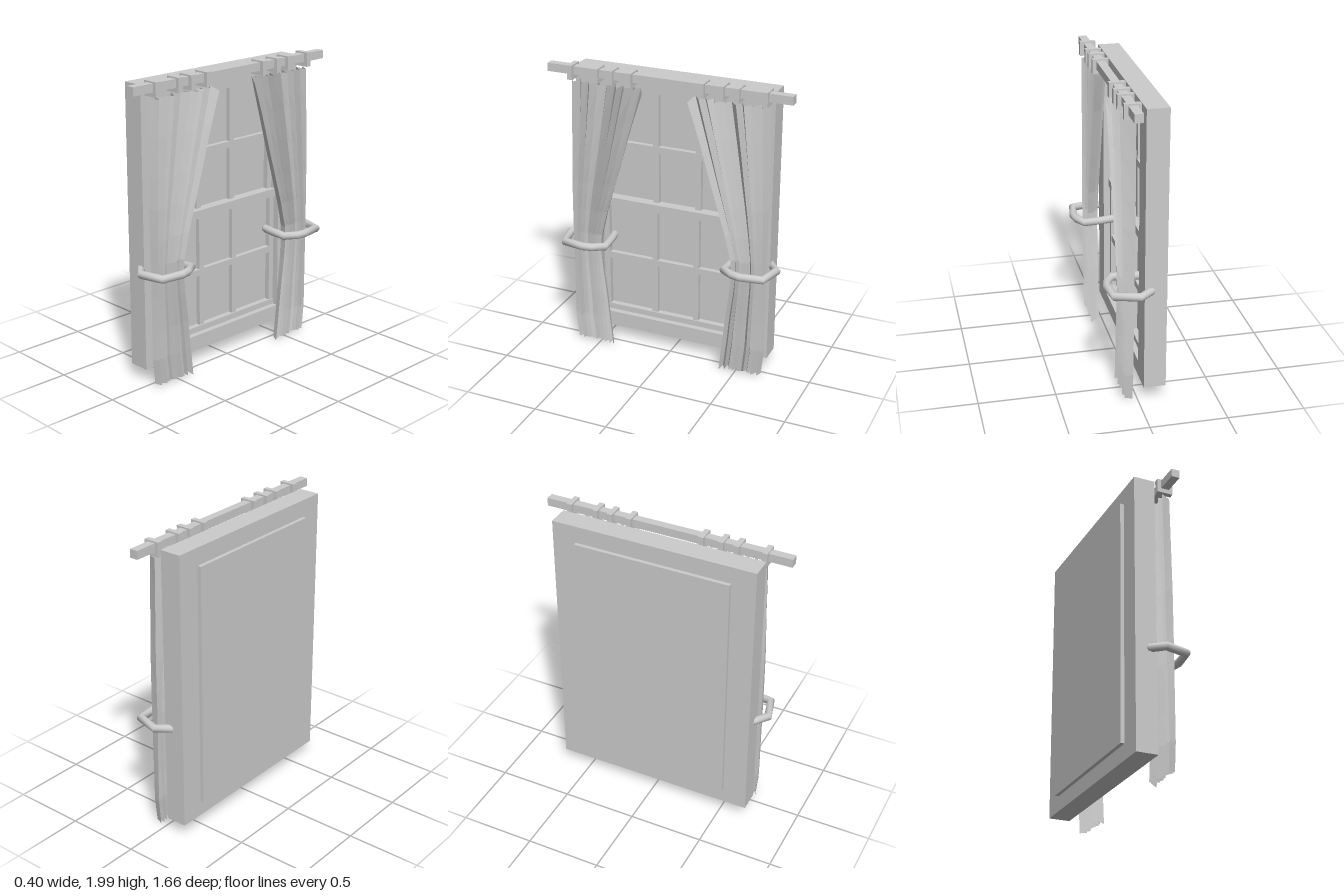
import * as THREE from 'three';

const gray = new THREE.MeshStandardMaterial({ color: 0xcccccc });
gray.name = 'light gray';
const cloth = new THREE.MeshStandardMaterial({ color: 0xcccccc, side: THREE.DoubleSide });
cloth.name = 'cloth gray';

function add(group, name, geometry, material = gray) {
  const mesh = new THREE.Mesh(geometry, material);
  mesh.name = name;
  group.add(mesh);
  return mesh;
}

// Box given by its limits on each axis
function box(group, name, x0, x1, y0, y1, z0, z1) {
  add(group, name, new THREE.BoxGeometry(x1 - x0, y1 - y0, z1 - z0))
    .position.set((x0 + x1) / 2, (y0 + y1) / 2, (z0 + z1) / 2);
}

// Rectangle with a rectangular hole, extruded along z from 0
function hollowRect(outer, inner, depth) {
  const corners = ([a0, a1, b0, b1]) =>
    [[a0, b0], [a1, b0], [a1, b1], [a0, b1]].map(([a, b]) => new THREE.Vector2(a, b));
  const shape = new THREE.Shape(corners(outer));
  shape.holes.push(new THREE.Path(corners(inner).reverse()));
  return new THREE.ExtrudeGeometry(shape, { depth, bevelEnabled: false });
}

// Interpolates in a list of [y, value], y falling
function profile(list, y) {
  for (let i = 0; i < list.length - 1; i++) {
    const [ya, va] = list[i], [yb, vb] = list[i + 1];
    if (y >= yb) return va + (vb - va) * (ya - y) / (ya - yb);
  }
  return list[list.length - 1][1];
}

// Straight segments joined at corners, for sharp-cornered tubes
class Polyline extends THREE.Curve {
  constructor(points) { super(); this.points = points; }
  getPoint(t, target = new THREE.Vector3()) {
    const n = this.points.length - 1;
    const i = Math.min(Math.floor(t * n + 1e-9), n - 1);
    return target.lerpVectors(this.points[i], this.points[i + 1], t * n - i);
  }
  getPointAt(u, target) { return this.getPoint(u, target); }
  getTangentAt(u, target) { return this.getTangent(u, target); }
}

// Pleated sheet gathered at the tieback
const innerEdge = [[1.9, 0.155], [1.4, 0.3], [1.2, 0.36], [1, 0.42], [0.83, 0.46],
  [0.72, 0.465], [0.6, 0.455], [0.4, 0.43], [0, 0.39]];
const outerEdge = [[1.9, 0.675], [1.2, 0.688], [0.78, 0.685], [0.1, 0.69], [0, 0.67]];
function curtainGeometry(side) {
  const heights = [1.9, 1.65, 1.4, 1.2, 1, 0.83, 0.72, 0.6, 0.4, 0.2, 0.01];
  const cols = 17, points = [], index = [];
  heights.forEach((y, r) => {
    const zin = profile(innerEdge, y), zout = profile(outerEdge, y);
    for (let c = 0; c <= cols; c++) {
      const wobble = Math.sin(c * 2.3 + 1);
      const u = c === 0 || c === cols ? c / cols : (c + 0.28 * wobble) / cols;
      const front = c % 2 === 1;
      const x = front ? 0.088 + 0.008 * wobble - 0.005 * (r / 10)
        : 0.022 + 0.014 * Math.sin(c * 1.7) + 0.012 * (r / 10);
      let py = y;
      if (r === 0) py -= 0.012 * (1 + Math.sin(c * 1.9)) / 2 + (c === cols ? 0.02 : 0);
      if (r === heights.length - 1) py += 0.022 * (1 + Math.sin(c * 2.9)) / 2;
      points.push(x, py, side * (zout + (zin - zout) * u));
      if (r < heights.length - 1 && c < cols) {
        const a = r * (cols + 1) + c, b = a + 1, d = a + cols + 1, e = d + 1;
        if (side > 0) index.push(a, d, b, b, d, e);
        else index.push(a, b, d, b, e, d);
      }
    }
  });
  const indexed = new THREE.BufferGeometry();
  indexed.setAttribute('position', new THREE.Float32BufferAttribute(points, 3));
  indexed.setIndex(index);
  const flat = indexed.toNonIndexed();
  flat.computeVertexNormals();
  return flat;
}

export function createModel() {
  const model = new THREE.Group();
  model.name = 'curtainedWindow';

  // Casing around the opening, facing +x
  const casing = hollowRect([-0.685, 0.685, 0.1, 1.965], [-0.525, 0.525, 0.205, 1.85], 0.143);
  casing.rotateY(Math.PI / 2);
  add(model, 'casing', casing).position.x = -0.18;

  // Panes: the upper one sits further back than the lower one
  const sash = new THREE.Group();
  sash.name = 'sash';
  model.add(sash);
  box(sash, 'upperPane', -0.205, -0.14, 0.205, 1.85, -0.525, 0.525);
  box(sash, 'lowerPane', -0.14, -0.115, 0.205, 1.03, -0.525, 0.525);

  // Rails, stiles and glazing bars of both sashes
  const sashes = [
    { name: 'lower', y0: 0.205, y1: 1.03, back: -0.115, front: -0.08, bar: 0.62 },
    { name: 'upper', y0: 1.03, y1: 1.85, back: -0.14, front: -0.105, bar: 1.432 },
  ];
  for (const { name, y0, y1, back, front, bar } of sashes) {
    for (const s of [-1, 1]) {
      const z = s * 0.505;
      box(sash, name + 'Stile', back, front, y0, y1, z - 0.02, z + 0.02);
      const m = s * 0.15;
      box(sash, name + 'VerticalBar', back, front - 0.005, y0, y1, m - 0.02, m + 0.02);
    }
    box(sash, name + 'CrossBar', back, front - 0.002, bar - 0.022, bar + 0.022, -0.5, 0.5);
  }
  box(sash, 'bottomRail', -0.115, -0.075, 0.205, 0.245, -0.525, 0.525);
  box(sash, 'topRail', -0.14, -0.1, 1.815, 1.85, -0.525, 0.525);
  box(sash, 'meetingRail', -0.14, -0.07, 1, 1.055, -0.525, 0.525);

  // Rod
  box(model, 'curtainRod', 0.015, 0.07, 1.935, 1.99, -0.83, 0.83);

  for (const side of [-1, 1]) {
    const half = new THREE.Group();
    half.name = side > 0 ? 'leftCurtainSet' : 'rightCurtainSet';
    model.add(half);

    // Square rings
    for (const z of [0.66, 0.478, 0.375, 0.245]) {
      const ring = hollowRect([-0.01, 0.095, 1.905, 2], [0.015, 0.07, 1.935, 1.985], 0.035);
      add(half, 'curtainRing', ring).position.z = side * z - 0.0175;
    }

    add(half, 'curtain', curtainGeometry(side), cloth);

    // Tieback: bent tube from the casing around the curtain
    const path = [[-0.08, 0.675], [0, 0.742], [0.155, 0.7], [0.173, 0.56], [0.162, 0.5],
      [0.12, 0.427], [0, 0.435], [-0.08, 0.45]]
      .map(([x, z]) => new THREE.Vector3(x, 0.78, side * z));
    const tube = new THREE.TubeGeometry(new Polyline(path), path.length - 1, 0.027, 10, false);
    add(half, 'tieback', tube);
    for (const end of [path[0], path[path.length - 1]]) {
      add(half, 'tiebackEnd', new THREE.SphereGeometry(0.027, 10, 6)).position.copy(end);
    }
  }
  return model;
}
